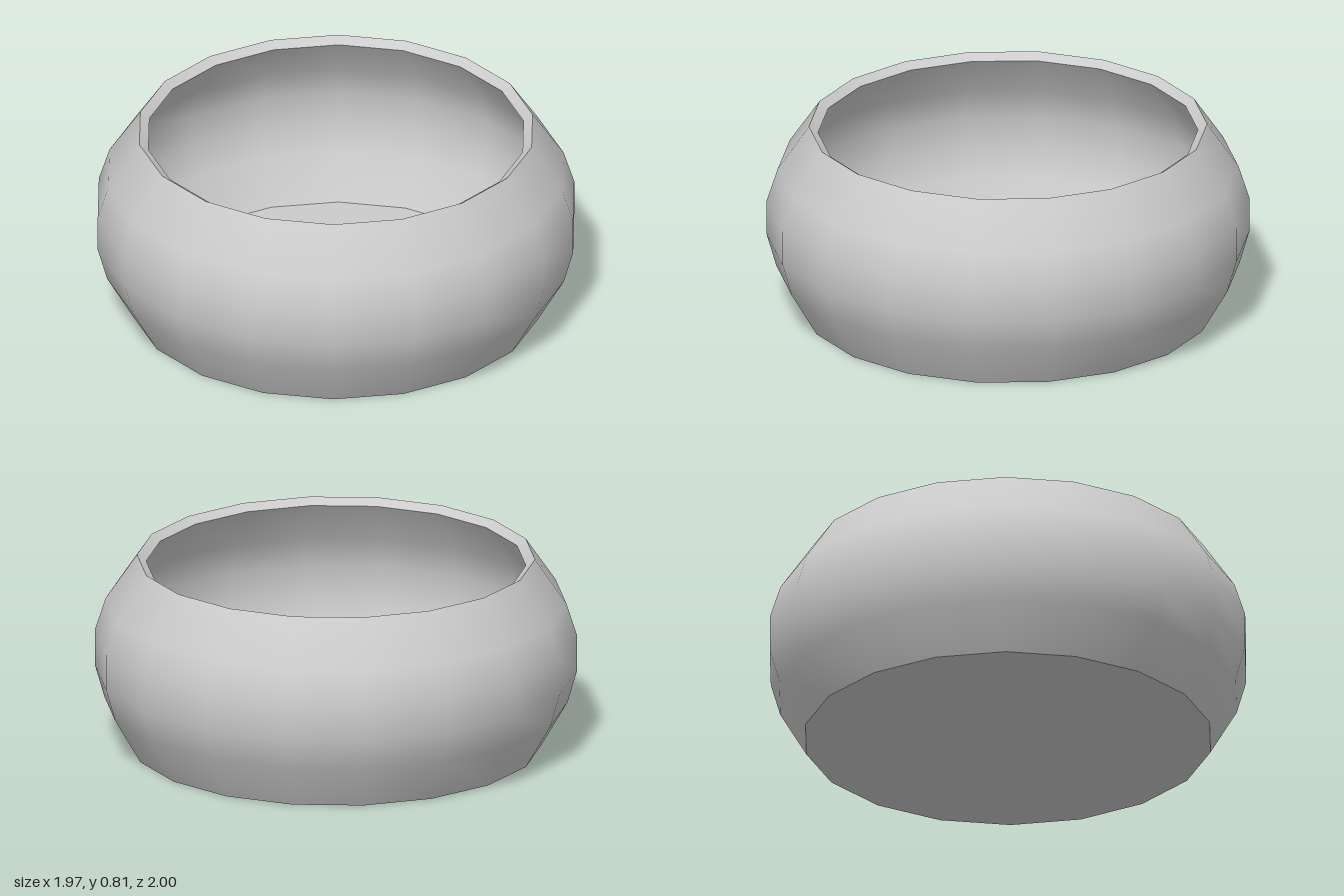
import * as THREE from 'three';

const SIDES = 18;

// Revolve [radius, height] pairs; smooth within a part, sharp between parts.
function revolve(name, profile, material) {
  const points = profile.map(([r, y]) => new THREE.Vector2(r, y));
  const mesh = new THREE.Mesh(new THREE.LatheGeometry(points, SIDES), material);
  mesh.name = name;
  return mesh;
}

export function createModel() {
  const material = new THREE.MeshStandardMaterial({ color: 0xcccccc });
  const bowl = new THREE.Group();
  bowl.name = 'bowl';

  // Bulging wall, bottom to top
  const outer = [[0.85, 0], [0.96, 0.19], [1, 0.33], [1, 0.48], [0.955, 0.62], [0.825, 0.81]];
  // Inner face of the wall, top to bottom
  const inner = [[0.787, 0.783], [0.913, 0.6], [0.948, 0.47], [0.948, 0.34], [0.913, 0.21], [0.81, 0.03]];

  bowl.add(
    revolve('outerWall', outer, material),
    revolve('rim', [outer[5], inner[0]], material), // slopes down and inward
    revolve('innerWall', inner, material),
    revolve('floor', [inner[5], [0, inner[5][1]]], material),
    revolve('base', [[0, 0], outer[0]], material)
  );
  return bowl;
}
